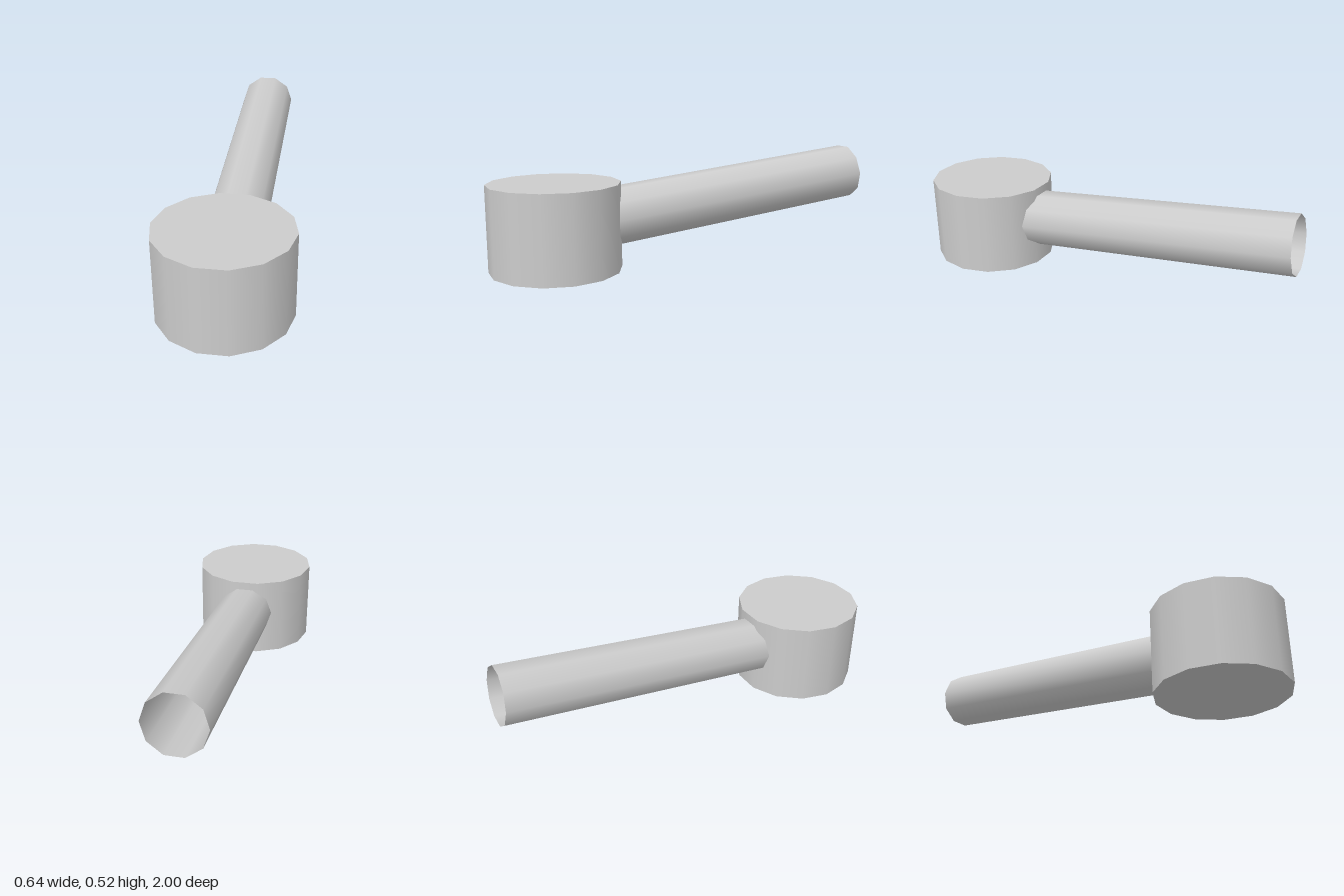
import * as THREE from 'three';

export function createModel() {
  const model = new THREE.Group();
  const grey = new THREE.MeshStandardMaterial({ color: 0xcccccc, side: THREE.DoubleSide });
  grey.name = 'plain grey';

  // Closed 14-sided drum with a corner pointing to each side
  const drum = new THREE.Mesh(
    new THREE.CylinderGeometry(0.318, 0.318, 0.42, 14, 1, false, Math.PI / 2), grey);
  drum.name = 'drum';
  drum.position.set(0, 0.21, 0.69);
  model.add(drum);

  // Open 10-sided tube, running from inside the drum up to the back
  const start = new THREE.Vector3(0, 0.227, 0.5);
  const end = new THREE.Vector3(0, 0.383, -0.985);
  const axis = end.clone().sub(start);
  const tubeGeometry = new THREE.CylinderGeometry(
    0.145, 0.145, axis.length(), 10, 1, true, Math.PI / 2);
  const handle = new THREE.Mesh(tubeGeometry, grey);
  handle.name = 'handle';
  handle.position.copy(start).add(end).multiplyScalar(0.5);
  handle.quaternion.setFromUnitVectors(new THREE.Vector3(0, 1, 0), axis.normalize());
  model.add(handle);

  return model;
}
